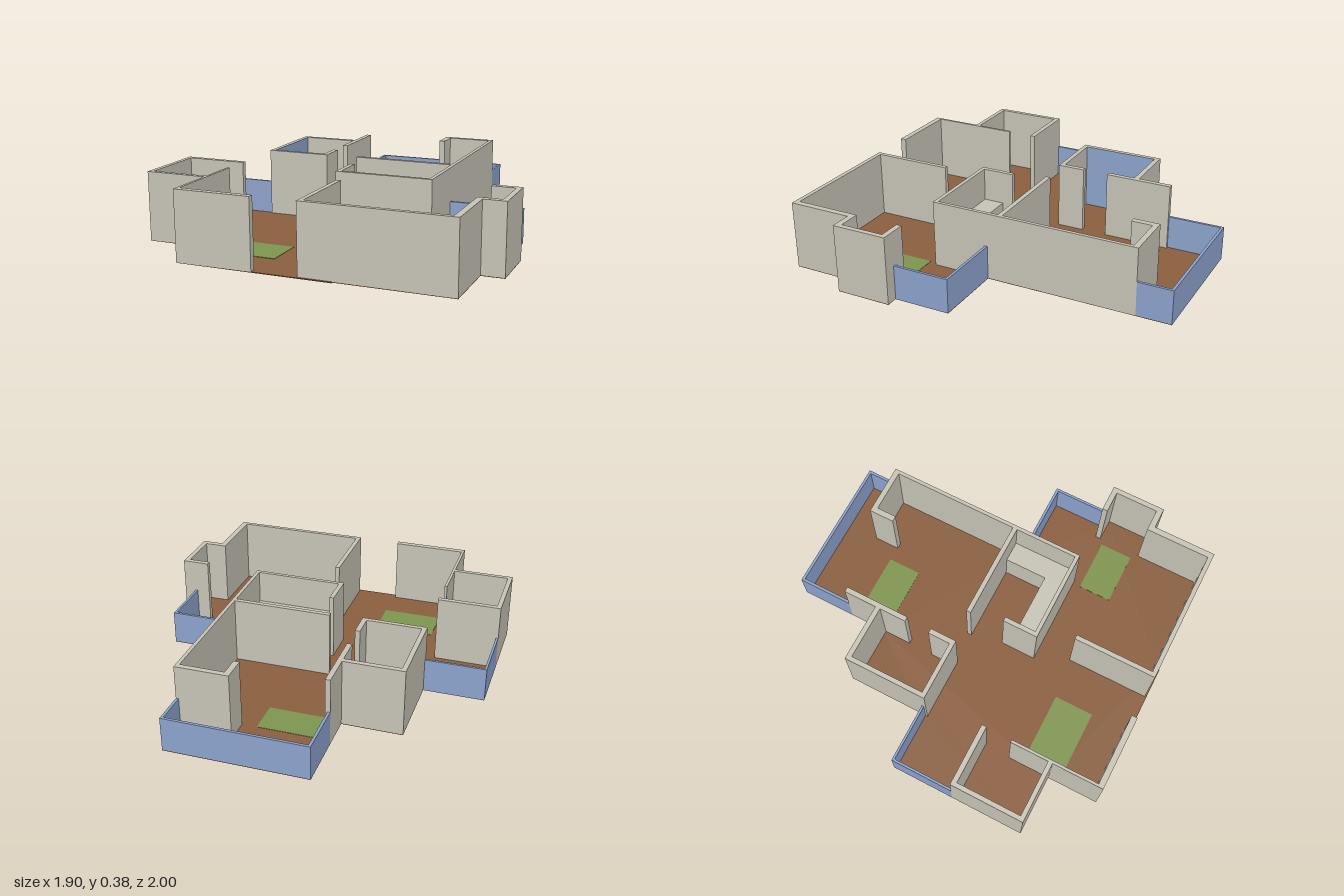
import * as THREE from 'three';

export function createModel() {
  const mat = (name, color) => {
    const m = new THREE.MeshStandardMaterial({ color, side: THREE.DoubleSide });
    m.name = name;
    return m;
  };
  const plaster = mat('plaster', 0xc9c5b8);
  const wood = mat('wood', 0x8b5f3f);
  const grass = mat('rug green', 0x7f9650);
  const glass = mat('railing blue', 0x8ea5cf);

  const WALL = 0.375, RAIL = 0.19, FLOOR = 0.004;
  const model = new THREE.Group();
  model.name = 'floorPlan';

  // Box from plan extents (x0, x1, z0, z1) and heights (y0, y1)
  const block = (parent, name, [x0, x1, z0, z1], y0, y1, material) => {
    const mesh = new THREE.Mesh(new THREE.BoxGeometry(x1 - x0, y1 - y0, z1 - z0), material);
    mesh.position.set((x0 + x1) / 2, (y0 + y1) / 2, (z0 + z1) / 2);
    mesh.name = name;
    parent.add(mesh);
  };
  const blocks = (groupName, name, plans, y0, y1, material) => {
    const group = new THREE.Group();
    group.name = groupName;
    plans.forEach((p) => block(group, name, p, y0, y1, material));
    model.add(group);
  };

  // Floor slab outline, in x and z
  const outline = [
    [-0.29, -1], [0.485, -1], [0.485, 0.02], [0.885, 0.02], [0.885, 0.33], [0.95, 0.33],
    [0.95, 0.635], [0.83, 0.635], [0.83, 0.99], [0.22, 0.99], [0.22, 1], [-0.613, 1],
    [-0.613, 0.715], [-0.95, 0.715], [-0.95, -0.053], [-0.617, -0.053], [-0.617, -0.503], [-0.29, -0.503],
  ];
  const shape = new THREE.Shape(outline.map(([x, z]) => new THREE.Vector2(x, -z)));
  const slab = new THREE.ExtrudeGeometry(shape, { depth: FLOOR, bevelEnabled: false });
  slab.rotateX(-Math.PI / 2);
  const floor = new THREE.Mesh(slab, wood);
  floor.name = 'floor';
  model.add(floor);

  // Rugs, showing on both faces of the floor
  blocks('rugs', 'rug', [
    [-0.215, 0.11, -0.67, -0.48],
    [-0.525, -0.19, 0.553, 0.775],
    [0.467, 0.765, 0.385, 0.57],
  ], -0.001, FLOOR + 0.002, grass);

  // Full-height walls
  blocks('walls', 'wall', [
    // back room
    [0.192, 0.485, -0.81, -0.78], [0.192, 0.225, -0.78, -0.667], [0.465, 0.485, -0.78, 0.32],
    [-0.29, -0.262, -0.693, -0.322],
    // back alcove
    [-0.617, -0.29, -0.503, -0.475], [-0.617, -0.593, -0.475, -0.053],
    [-0.617, -0.262, -0.053, -0.028], [-0.29, -0.262, -0.18, -0.053],
    // kitchen
    [-0.085, 0.465, -0.06, -0.034], [-0.045, -0.02, 0.142, 0.32], [-0.045, 0.485, 0.32, 0.342],
    // left-hand side room
    [-0.95, -0.6, 0.302, 0.33], [-0.95, -0.925, 0.33, 0.69], [-0.95, -0.613, 0.69, 0.715],
    // front rooms
    [-0.615, -0.6, 0.475, 1], [-0.6, -0.2, 0.967, 1],
    [0.04, 0.065, 0.525, 0.99], [0.065, 0.83, 0.965, 0.99], [0.797, 0.83, 0.635, 0.965],
    // side nook
    [0.797, 0.95, 0.602, 0.635], [0.922, 0.95, 0.36, 0.602], [0.797, 0.95, 0.33, 0.36],
  ], 0, WALL, plaster);

  // Balcony railings
  blocks('railings', 'railing', [
    [-0.29, 0.485, -1, -0.985], [-0.29, -0.275, -0.985, -0.693], [0.47, 0.485, -0.985, -0.81],
    [-0.95, -0.617, -0.053, -0.04], [-0.95, -0.937, -0.04, 0.302],
    [0.485, 0.885, 0.02, 0.035], [0.871, 0.885, 0.035, 0.33],
  ], 0, RAIL, glass);

  // Blue panel lining the alcove
  block(model, 'alcovePanel', [-0.593, -0.591, -0.475, -0.053], FLOOR, WALL, glass);

  // L-shaped kitchen counter
  blocks('counter', 'counterBlock', [
    [0.35, 0.465, -0.034, 0.32], [-0.02, 0.35, 0.205, 0.32],
  ], 0, RAIL, plaster);

  return model;
}
